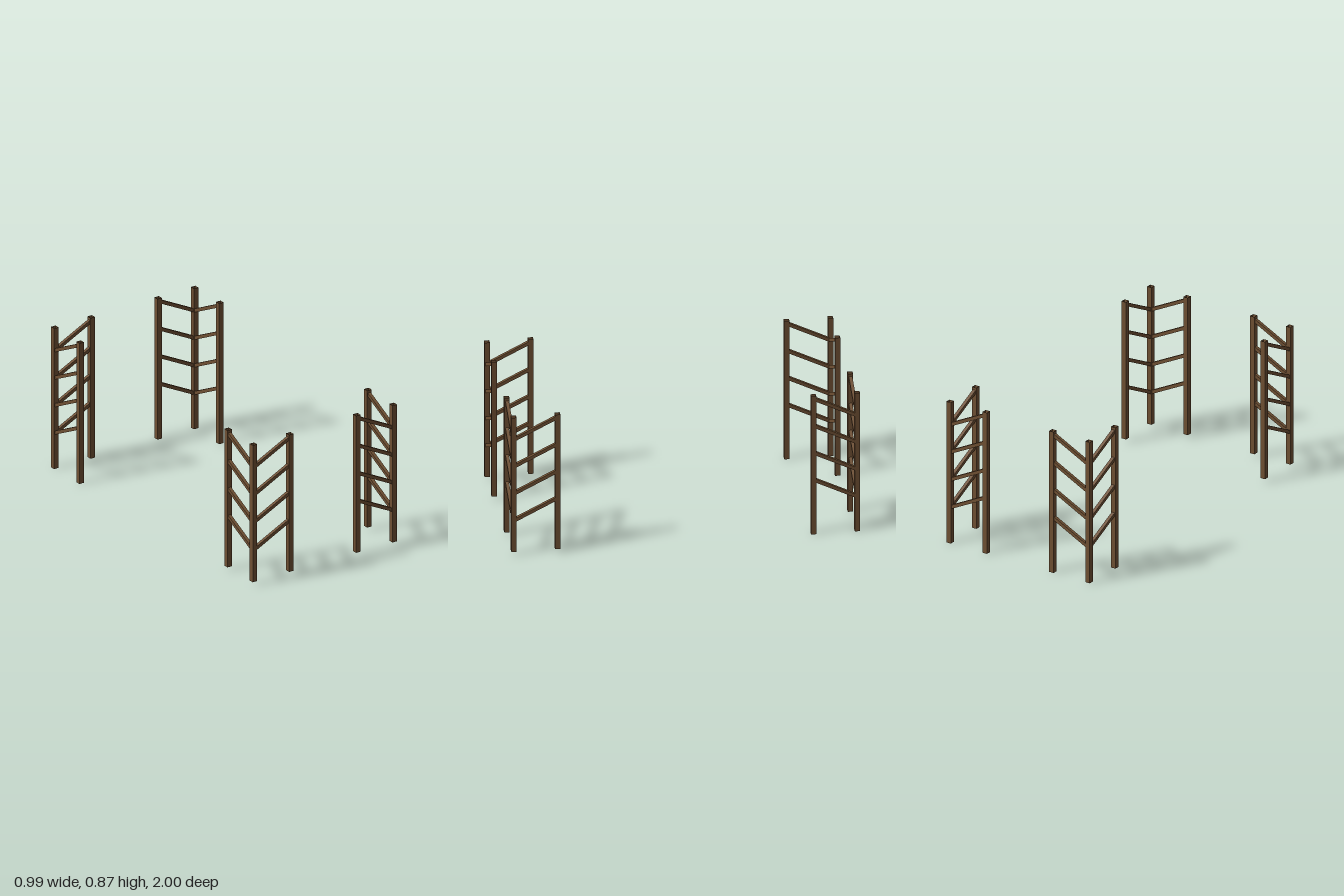
import * as THREE from 'three';

const TOP = 0.873, POST = 0.03, RAIL = 0.02;
const OUT_X = 0.482, IN_X = 0.231, OUT_Z = 0.985, IN_Z = 0.734;
const RAIL_HEIGHTS = [0.279, 0.45, 0.621, 0.791];
const SLOPE = 0.46, RAIL_RUN = 0.24;

// Square beam along y, open at both ends
function beam(width, length) {
  const r = width / Math.SQRT2;
  return new THREE.CylinderGeometry(r, r, length, 4, 1, true).rotateY(Math.PI / 4);
}

export function createModel() {
  const model = new THREE.Group();
  model.name = 'cornerFences';
  const wood = new THREE.MeshStandardMaterial({
    color: 0x6f5033, flatShading: true, side: THREE.DoubleSide,
  });
  wood.name = 'brown wood';

  const railGeometry = beam(RAIL, RAIL_RUN / Math.cos(SLOPE));
  const tilt = Math.PI / 2 - SLOPE;

  function add(group, name, geometry, x, y, z) {
    const mesh = new THREE.Mesh(geometry, wood);
    mesh.name = name;
    mesh.position.set(x, y, z);
    group.add(mesh);
    return mesh;
  }

  // One L-shaped fence at each corner
  for (const sz of [1, -1]) {
    const bottom = sz > 0 ? 0.023 : 0; // the front pair stands slightly higher
    const postGeometry = beam(POST, TOP - bottom);
    const postY = (TOP + bottom) / 2;
    for (const sx of [1, -1]) {
      const fence = new THREE.Group();
      fence.name = (sz > 0 ? 'front' : 'back') + (sx > 0 ? 'Left' : 'Right') + 'Fence';
      model.add(fence);

      // Posts
      add(fence, 'cornerPost', postGeometry, sx * OUT_X, postY, sz * OUT_Z);
      add(fence, 'endPost', postGeometry, sx * IN_X, postY, sz * OUT_Z);
      add(fence, 'sidePost', postGeometry, sx * OUT_X, postY, sz * IN_Z);

      // Rails rising from the corner post to the two other posts
      for (const y of RAIL_HEIGHTS) {
        add(fence, 'endRail', railGeometry, sx * (OUT_X + IN_X) / 2, y, sz * OUT_Z)
          .rotation.z = sx * tilt;
        add(fence, 'sideRail', railGeometry, sx * OUT_X, y, sz * (OUT_Z + IN_Z) / 2)
          .rotation.x = -sz * tilt;
      }
    }
  }
  return model;
}
